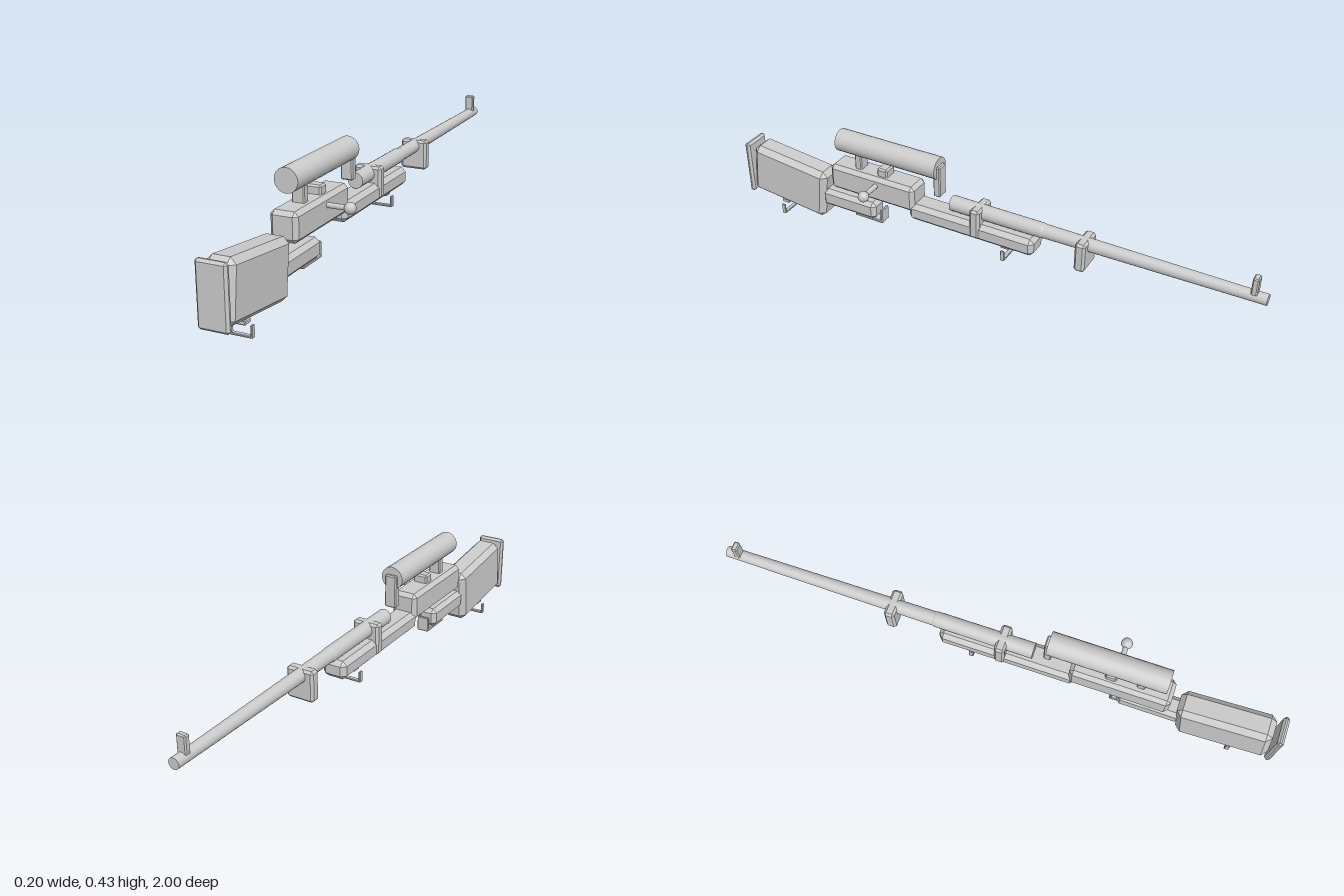
import * as THREE from 'three';
import { ConvexGeometry } from 'three/addons/geometries/ConvexGeometry.js';

const CX = -0.048; // centre plane of the body
const mat = new THREE.MeshStandardMaterial({ color: 0xcccccc });

// Box with every edge cut at 45 degrees
function chamferBox(w, h, d, c) {
  const half = [w / 2, h / 2, d / 2], pts = [];
  for (let axis = 0; axis < 3; axis++)
    for (const sx of [-1, 1]) for (const sy of [-1, 1]) for (const sz of [-1, 1]) {
      const p = [sx, sy, sz].map((s, i) => s * (half[i] - (i === axis ? 0 : c)));
      pts.push(new THREE.Vector3(...p));
    }
  return new ConvexGeometry(pts);
}

export function createModel() {
  const model = new THREE.Group();
  model.name = 'rifle';

  const add = (name, geo, x, y, z, parent = model) => {
    const mesh = new THREE.Mesh(geo, mat);
    mesh.name = name;
    mesh.position.set(x, y, z);
    parent.add(mesh);
    return mesh;
  };
  // Chamfered block given by its y and z limits
  const block = (name, w, y0, y1, z0, z1, c, x = CX) =>
    add(name, chamferBox(w, y1 - y0, z1 - z0, c), x, (y0 + y1) / 2, (z0 + z1) / 2);

  // Stock
  block('buttPlate', 0.104, 0.068, 0.277, 0.978, 1.0, 0.008);
  const stock = add('buttStock', chamferBox(0.098, 0.2, 0.325, 0.02), CX, 0.158, 0.811);
  stock.rotation.x = -0.115;
  block('grip', 0.074, 0.1, 0.17, 0.435, 0.665, 0.015);
  block('triggerGuardBase', 0.046, 0.089, 0.101, 0.411, 0.53, 0.003);
  block('triggerGuardFront', 0.046, 0.089, 0.145, 0.411, 0.42, 0.003);

  // Receiver and fore-end
  block('receiver', 0.096, 0.198, 0.298, 0.26, 0.612, 0.014);
  block('foreStock', 0.09, 0.163, 0.23, -0.207, 0.285, 0.016);
  block('receiverBlock', 0.054, 0.285, 0.328, 0.378, 0.42, 0.006);

  // Tapered barrel, lathed along its length and turned to point backwards
  const profile = [[0, 0], [0.028, 0], [0.027, 0.35], [0.025, 0.36], [0.019, 1.125], [0, 1.125]];
  const barrelGeo = new THREE.CylinderGeometry(1, 1, 1, 20, profile.length - 1);
  barrelGeo.dispose();
  const barrel = new THREE.Group();
  barrel.name = 'barrel';
  for (let i = 1; i < profile.length - 2; i++) {
    const [r0, a] = profile[i], [r1, b] = profile[i + 1];
    const open = i !== 1 && i !== profile.length - 3;
    const tube = new THREE.CylinderGeometry(r1, r0, b - a, 20, 1, open);
    add('barrelSection', tube.rotateX(-Math.PI / 2), CX, 0.261, 0.125 - (a + b) / 2, barrel);
  }
  model.add(barrel);
  block('frontSight', 0.034, 0.27, 0.335, -0.966, -0.945, 0.004);

  // Barrel bands
  block('rearBand', 0.1, 0.174, 0.287, -0.004, 0.034, 0.008);
  block('frontBand', 0.1, 0.174, 0.284, -0.4, -0.362, 0.008);

  // Scope and its mounts
  const scope = new THREE.CylinderGeometry(0.041, 0.041, 0.41, 20).rotateX(Math.PI / 2);
  add('scope', scope, CX, 0.387, 0.38);
  block('rearScopeMount', 0.044, 0.285, 0.37, 0.488, 0.516, 0.004);
  block('frontScopeMount', 0.044, 0.28, 0.4, 0.163, 0.19, 0.004);

  // Bolt handle
  const rod = new THREE.CylinderGeometry(0.009, 0.009, 0.1, 16).rotateZ(Math.PI / 2);
  add('boltHandle', rod, 0.02, 0.267, 0.414);
  add('boltKnob', new THREE.SphereGeometry(0.02, 20, 14), 0.078, 0.267, 0.414);

  // Sling swivels: a base plate with a square loop under it
  for (const [name, y, z] of [['rear', 0, 0.855], ['front', 0.11, -0.091]]) {
    block(name + 'SwivelBase', 0.045, y + 0.04, y + 0.056, z - 0.016, z + 0.016, 0.003);
    block(name + 'SwivelBar', 0.079, y, y + 0.007, z - 0.008, z + 0.008, 0.002);
    for (const s of [-1, 1])
      block(name + 'SwivelLeg', 0.007, y, y + 0.041, z - 0.008, z + 0.008, 0.002, CX + s * 0.036);
  }
  return model;
}
